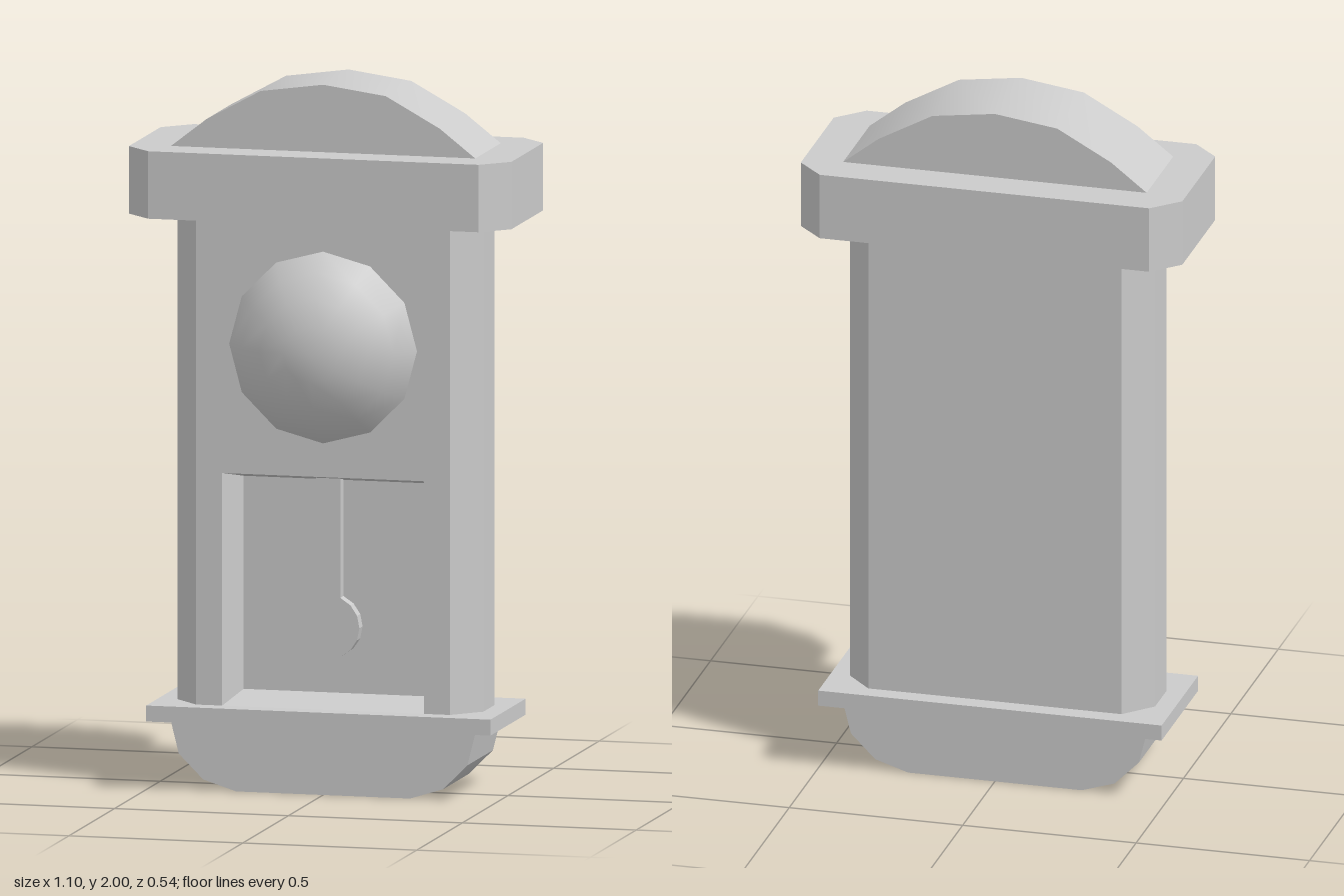
import * as THREE from 'three';
import { toCreasedNormals } from 'three/addons/utils/BufferGeometryUtils.js';

const material = new THREE.MeshStandardMaterial({ color: 0xcccccc });
const MID_Z = -0.02; // depth centre of the case

function toShape(points) {
  return new THREE.Shape(points.map(([a, b]) => new THREE.Vector2(a, b)));
}

function extrude(shape, depth) {
  return new THREE.ExtrudeGeometry(shape, { depth, bevelEnabled: false, curveSegments: 8 });
}

// Front outline (x, y) pushed from z0 to z1
function frontPrism(shape, z0, z1) {
  return extrude(shape, z1 - z0).translate(0, 0, z0);
}

// Plan outline (x, z) pushed from y0 up to y1
function planPrism(points, y0, y1) {
  return extrude(toShape(points), y1 - y0).rotateX(Math.PI / 2).translate(0, y1, 0);
}

// Side outline (z, y) pushed across the width
function sidePrism(points, halfWidth) {
  return extrude(toShape(points), 2 * halfWidth).rotateY(-Math.PI / 2).translate(halfWidth, 0, 0);
}

// Right half of a symmetric outline, completed by its mirror image
function mirrored(half) {
  return [...half, ...half.filter(([x]) => x !== 0).map(([x, y]) => [-x, y]).reverse()];
}

export function createModel() {
  const group = new THREE.Group();
  const add = (name, geometry) => {
    const mesh = new THREE.Mesh(geometry, material);
    mesh.name = name;
    group.add(mesh);
    return mesh;
  };

  // Rounded foot below the shelf
  const foot = mirrored([[0.25, 0], [0.345, 0.03], [0.415, 0.1], [0.44, 0.2]]);
  add('foot', toCreasedNormals(frontPrism(toShape(foot), -0.16, 0.12), 0.5));

  // Thin shelf under the case
  add('shelf', new THREE.BoxGeometry(0.99, 0.045, 0.385).translate(0, 0.2175, MID_Z));

  // Middle of the case, its side profile notched for the pendulum window
  add('caseMiddle', sidePrism([
    [-0.16, 0.24], [-0.16, 1.62], [0.12, 1.62], [0.12, 0.895],
    [0, 0.87], [0, 0.27], [0.12, 0.24],
  ], 0.29));

  // Chamfered side posts with splayed inner walls
  const post = [
    [0.29, 0.12], [0.365, 0.12], [0.44, 0.04], [0.44, -0.08],
    [0.365, -0.16], [0.29, -0.16], [0.26, 0],
  ];
  for (const [name, side] of [['leftPost', 1], ['rightPost', -1]]) {
    add(name, planPrism(post.map(([x, z]) => [side * x, z]), 0.24, 1.62));
  }

  // Cornice with cut corners
  add('cornice', planPrism(mirrored([
    [0.475, -0.27], [0.55, -0.195], [0.55, 0.152], [0.475, 0.227],
  ]), 1.62, 1.81));

  // Arched crown
  const crown = mirrored([[0.44, 1.808], [0.335, 1.89], [0.18, 1.975], [0, 2]]);
  add('crown', toCreasedNormals(frontPrism(toShape(crown), -0.16, 0.12), 0.6));

  // Domed dial: a shallow spherical cap on the front
  const radius = 0.318;
  const dial = new THREE.SphereGeometry(radius, 12, 4, 0, Math.PI * 2, 0, Math.asin(0.27 / radius));
  add('dial', dial.rotateX(Math.PI / 2).translate(0, 1.26, 0.27 - radius));

  // Pendulum: rod and round bob cut as one outline
  const bobY = 0.465, bobR = 0.09, rodHalf = 0.035;
  const gap = Math.asin(rodHalf / bobR);
  const outline = [[rodHalf, 0.885], [-rodHalf, 0.885]];
  const steps = 14;
  for (let i = 0; i <= steps; i++) {
    const a = Math.PI / 2 + gap + (i / steps) * (Math.PI * 2 - 2 * gap);
    outline.push([bobR * Math.cos(a), bobY + bobR * Math.sin(a)]);
  }
  add('pendulum', frontPrism(toShape(outline), 0.03, 0.065));

  return group;
}
